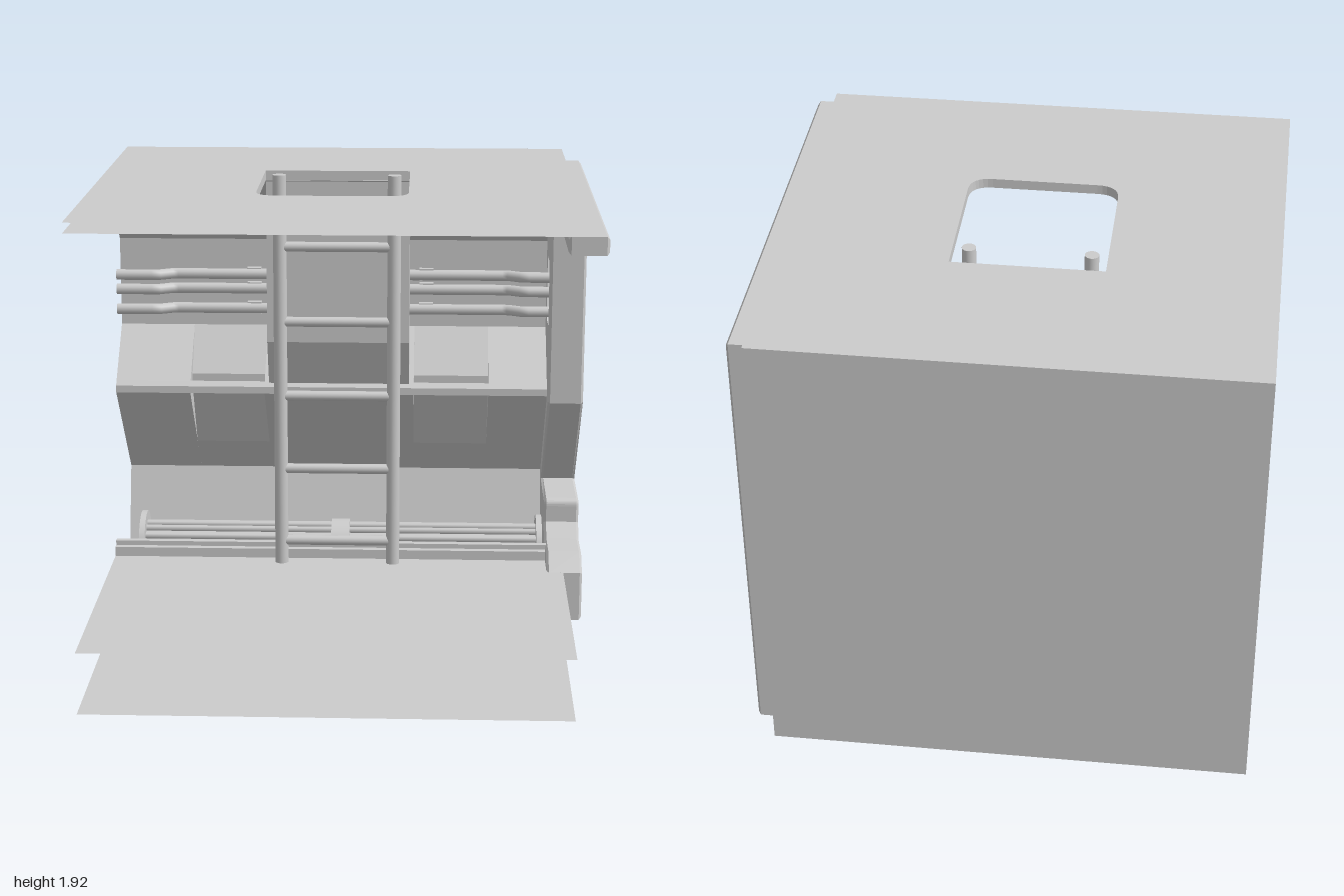
import * as THREE from 'three';

const grey = new THREE.MeshStandardMaterial({ color: 0xcccccc, flatShading: true, side: THREE.DoubleSide });
const smooth = new THREE.MeshStandardMaterial({ color: 0xcccccc, side: THREE.DoubleSide });
const HALF = 0.96; // half width of the bay

function add(parent, name, geo, mat = grey) {
  const m = new THREE.Mesh(geo, mat);
  m.name = name;
  parent.add(m);
  return m;
}

function box(parent, name, w, h, d, x, y, z) {
  const m = add(parent, name, new THREE.BoxGeometry(w, h, d));
  m.position.set(x, y, z);
  return m;
}

// Closed outline whose corners [u, v, radius] are rounded
function outline(Type, pts) {
  const path = new Type();
  const n = pts.length;
  pts.forEach(([u, v, r = 0], i) => {
    const c = new THREE.Vector2(u, v);
    const toward = (p) => c.clone().add(new THREE.Vector2(p[0] - u, p[1] - v).setLength(r));
    const a = r ? toward(pts[(i + n - 1) % n]) : c;
    if (i) path.lineTo(a.x, a.y); else path.moveTo(a.x, a.y);
    if (r) {
      const b = toward(pts[(i + 1) % n]);
      path.quadraticCurveTo(u, v, b.x, b.y);
    }
  });
  path.closePath();
  return path;
}

// Outline given as [z, y, radius], standing in the side plane
const sideOutline = (Type, pts) => outline(Type, pts.map(([z, y, r]) => [-z, y, r]));

// Folded sheet: profile of [z, y] points swept from x0 to x1
function sheet(profile, x0, x1) {
  const pos = [];
  for (let i = 0; i + 1 < profile.length; i++) {
    const [za, ya] = profile[i], [zb, yb] = profile[i + 1];
    pos.push(x0, ya, za, x0, yb, zb, x1, yb, zb, x0, ya, za, x1, yb, zb, x1, ya, za);
  }
  const g = new THREE.BufferGeometry();
  g.setAttribute('position', new THREE.Float32BufferAttribute(pos, 3));
  g.computeVertexNormals();
  return g;
}

function rod(parent, name, r, len, axis, x, y, z, sides = 16, open = false) {
  const g = new THREE.CylinderGeometry(r, r, len, sides, 1, open);
  if (axis === 'x') g.rotateZ(Math.PI / 2);
  const m = add(parent, name, g, smooth);
  m.position.set(x, y, z);
  return m;
}

export function createModel() {
  const model = new THREE.Group();
  const bay = new THREE.Group(); // symmetrical part
  bay.name = 'bay';
  bay.position.x = -0.04;
  model.add(bay);

  // Back wall and floor sheets
  const back = add(bay, 'backWall', new THREE.PlaneGeometry(2 * HALF, 1.92));
  back.position.set(0, 0.96, -0.96);
  add(bay, 'baseSheet', sheet([[-0.96, 0], [0.96, 0]], -HALF, HALF));
  add(bay, 'floorSheet', sheet([[-0.24, 0.25], [0.96, 0.25]], -HALF, HALF));

  // Ceiling sheets with the hatch opening
  const hatch = [[-0.3, 0.3], [0.3, 0.3], [0.3, -0.33, 0.09], [-0.3, -0.33, 0.09]];
  for (const [name, y, zBack] of [['roofSheet', 1.92, -0.96], ['ceilingSheet', 1.88, -0.31]]) {
    const s = outline(THREE.Shape, [[-HALF, -0.96], [HALF, -0.96], [HALF, -zBack], [-HALF, -zBack]]);
    s.holes.push(outline(THREE.Path, hatch));
    const g = new THREE.ShapeGeometry(s, 8).rotateX(-Math.PI / 2);
    add(bay, name, g).position.y = y;
  }
  // Hatch rim joining both sheets
  const loop = outline(THREE.Path, hatch).getPoints(8);
  const rim = sheet(loop.map((p) => [-p.y, p.x]), 1.88, 1.92);
  const rp = rim.attributes.position;
  for (let i = 0; i < rp.count; i++) rp.setXYZ(i, rp.getY(i), rp.getX(i), rp.getZ(i));
  rim.computeVertexNormals();
  add(bay, 'hatchRim', rim);

  // Folded rear lining, with a grip pocket on either side
  const top = [[-0.29, 1.88], [-0.63, 1.57], [-0.63, 1.19]];
  const ledge = [[-0.41, 0.99], [-0.39, 0.97], [-0.39, 0.94]];
  const trough = [[-0.83, 0.49], [-0.7, 0.06], [-0.56, 0.055], [-0.24, 0.26]];
  const pocket = [[-0.5, 1.0], [-0.5, 0.94], [-0.674, 0.65]];
  for (const [a, b] of [[-HALF, -0.64], [-0.32, 0.32], [0.64, HALF]])
    add(bay, 'rearLining', sheet([...top, ...ledge, ...trough], a, b));
  for (const s of [-1, 1]) {
    const a = s * 0.48 - 0.16, b = s * 0.48 + 0.16;
    add(bay, 'pocketLining', sheet([...top, ...pocket, ...trough], a, b));
    add(bay, 'pocketGrip', sheet(ledge, a, b));
    for (const x of [a, b]) {
      const g = new THREE.ShapeGeometry(sideOutline(THREE.Shape, [top[2], ...ledge, pocket[2], pocket[1], pocket[0]]));
      add(bay, 'pocketCheek', g.rotateY(Math.PI / 2)).position.x = x;
    }
  }

  // Centre column behind the ladder
  const column = sideOutline(THREE.Shape, [[-0.5, 1.88], [-0.295, 1.88], [-0.295, 1.19], [-0.385, 0.99], [-0.5, 1.1]]);
  add(bay, 'centreColumn', new THREE.ExtrudeGeometry(column, { depth: 0.6, bevelEnabled: false })
    .rotateY(Math.PI / 2)).position.x = -0.3;

  // Pipes, kinked forward near both ends, with clips
  for (const y of [1.435, 1.372, 1.285]) {
    const path = new THREE.CurvePath();
    const pts = [[-0.96, -0.5], [-0.78, -0.5], [-0.72, -0.535], [0.72, -0.535], [0.78, -0.5], [0.96, -0.5]]
      .map(([x, z]) => new THREE.Vector3(x, y, z));
    for (let i = 0; i < 5; i++) path.add(new THREE.LineCurve3(pts[i], pts[i + 1]));
    add(bay, 'pipe', new THREE.TubeGeometry(path, 64, 0.023, 12), smooth);
    for (const s of [-1, 1]) {
      rod(bay, 'pipeEnd', 0.023, 0.004, 'x', s * 0.958, y, -0.5, 12);
      box(bay, 'pipeClip', 0.06, 0.054, 0.03, s * 0.37, y, -0.545);
    }
  }

  // Floor lip in front of the trough
  box(bay, 'floorLip', 2 * HALF, 0.04, 0.04, 0, 0.27, -0.26);
  box(bay, 'lipStep', 2 * HALF, 0.02, 0.03, 0, 0.3, -0.285);

  // Ribbed drum lying in the trough
  const drum = new THREE.Group();
  drum.name = 'drum';
  drum.position.set(0, 0.195, -0.6);
  bay.add(drum);
  rod(drum, 'drumCore', 0.085, 1.74, 'x', 0, 0, 0, 24);
  for (let i = 0; i < 14; i++) {
    const t = (i / 14) * Math.PI * 2;
    rod(drum, 'drumRib', 0.014, 1.74, 'x', 0, Math.cos(t) * 0.092, Math.sin(t) * 0.092, 8);
  }
  for (const [x, w, r] of [[-0.875, 0.025, 0.145], [0, 0.08, 0.118], [0.875, 0.025, 0.145]])
    rod(drum, 'drumRing', r, w, 'x', x, 0, 0, 28);

  // Square lamps under the trough slope
  for (const s of [-1, 1]) {
    const lamp = new THREE.Group();
    lamp.name = 'lamp';
    lamp.position.set(s * 0.48, 0.16, -0.396);
    lamp.rotation.x = Math.atan2(0.32, 0.205);
    bay.add(lamp);
    const frame = outline(THREE.Shape, [[-0.05, -0.09], [0.05, -0.09], [0.05, 0.09], [-0.05, 0.09]]);
    frame.holes.push(outline(THREE.Path, [[-0.035, -0.065], [0.035, -0.065], [0.035, 0.065], [-0.035, 0.065]]));
    add(lamp, 'lampFrame', new THREE.ExtrudeGeometry(frame, { depth: 0.015, bevelEnabled: false }));
    box(lamp, 'lampLens', 0.045, 0.085, 0.01, 0, 0, 0.005);
  }

  // Ladder
  for (const s of [-1, 1]) rod(bay, 'ladderRail', 0.028, 1.92, 'y', s * 0.237, 0.96, -0.19, 20);
  for (let i = 0; i < 6; i++) rod(bay, 'ladderRung', 0.021, 0.45, 'x', 0, 0.03 + i * 0.318, -0.19);

  // Shaped side panel with a window and a ceiling arm
  const panel = sideOutline(THREE.Shape, [
    [-0.885, 0.04], [-0.08, 0.04], [-0.08, 0.25], [-0.17, 0.315], [-0.35, 0.315], [-0.42, 0.37],
    [-0.42, 0.47, 0.03], [-0.755, 0.47], [-0.305, 0.93], [-0.305, 1.81], [0.96, 1.81], [0.96, 1.88], [-0.885, 1.88],
  ]);
  panel.holes.push(sideOutline(THREE.Path, [
    [-0.38, 1.235, 0.04], [-0.38, 1.535, 0.04], [-0.565, 1.535, 0.04], [-0.565, 1.235, 0.04]]));
  add(model, 'sidePanel', new THREE.ExtrudeGeometry(panel, {
    depth: 0.13, bevelThickness: 0.01, bevelSize: 0.012, bevelOffset: -0.012, bevelSegments: 1, curveSegments: 6,
  }).rotateY(Math.PI / 2)).position.x = 0.86;

  return model;
}
